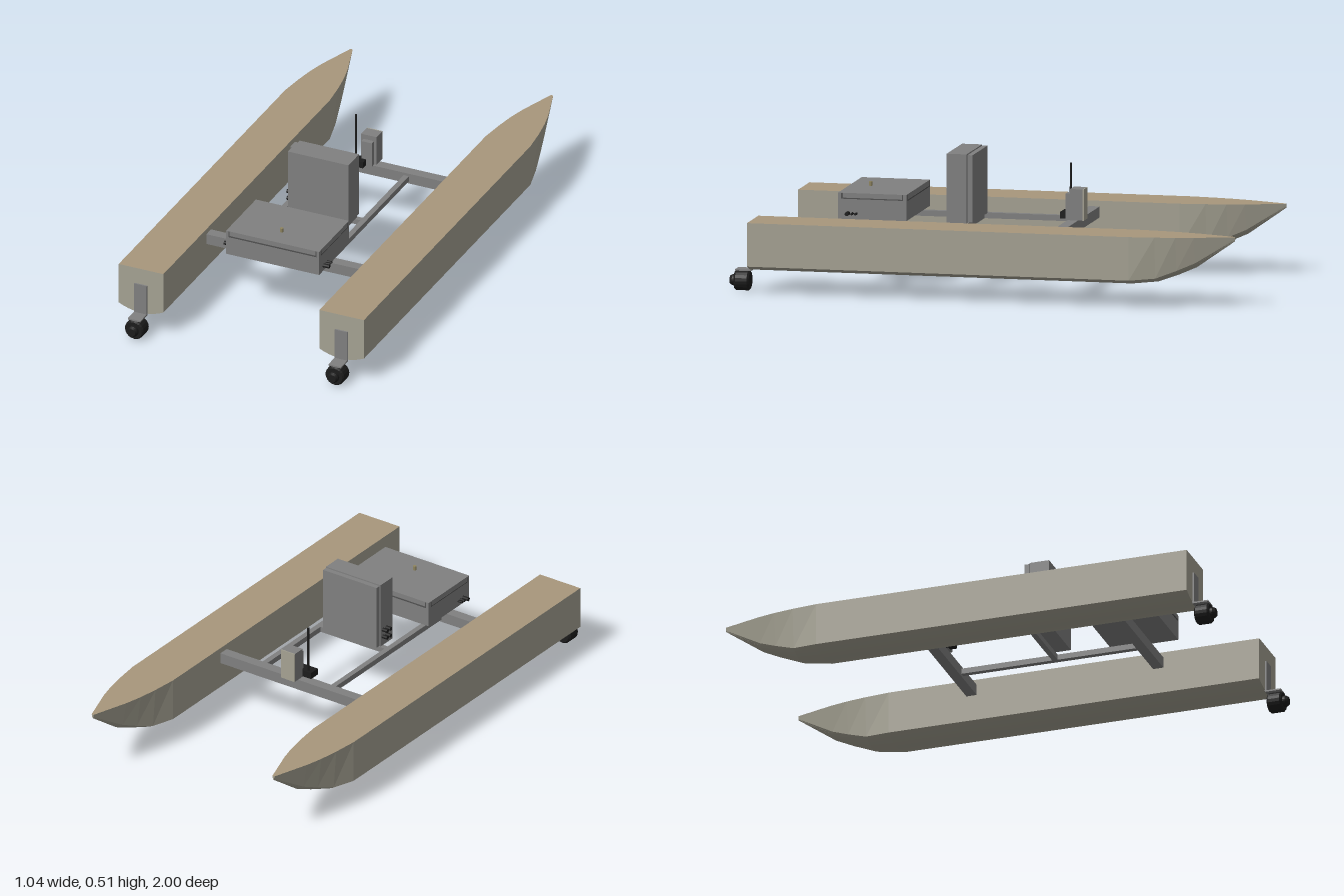
import * as THREE from 'three';

const mat = (name, color) => {
  const m = new THREE.MeshStandardMaterial({ color });
  m.name = name;
  return m;
};

export function createModel() {
  const root = new THREE.Group();
  root.name = 'catamaran';
  const hullMat = mat('hullKhaki', 0xa5a293);
  const deckMat = mat('deckTan', 0xa8977c);
  const grey = mat('metalGrey', 0x808080);
  const dark = mat('sealGrey', 0x505050);
  const black = mat('rubberBlack', 0x1c1c1c);
  const brass = mat('brass', 0x8f8560);

  const add = (parent, name, geo, material, x = 0, y = 0, z = 0) => {
    const m = new THREE.Mesh(geo, material);
    m.name = name;
    m.position.set(x, y, z);
    parent.add(m);
    return m;
  };
  // box given by its lower and upper corner
  const box = (parent, name, material, [x0, y0, z0], [x1, y1, z1]) =>
    add(parent, name, new THREE.BoxGeometry(x1 - x0, y1 - y0, z1 - z0), material,
      (x0 + x1) / 2, (y0 + y1) / 2, (z0 + z1) / 2);

  // hull stations: z, deck half width, chine half width, chine height, keel height
  const stations = [
    [0.912, 0.095, 0.095, 0.11, 0.087],
    [-0.6, 0.095, 0.095, 0.11, 0.087],
    [-0.7, 0.084, 0.072, 0.118, 0.098],
    [-0.78, 0.071, 0.053, 0.148, 0.127],
    [-0.85, 0.054, 0.036, 0.178, 0.158],
    [-1.0, 0.005, 0.003, 0.27, 0.264],
  ];
  const deckY = 0.28;

  function hullGeometry() {
    const rings = stations.map(([z, w, wb, chine, keel]) => {
      const ring = [[w, deckY, z]];
      for (let i = 0; i <= 10; i++) {
        const t = 1 - i / 5;
        ring.push([wb * t, keel + (chine - keel) * t * t, z]);
      }
      ring.push([-w, deckY, z]);
      return ring;
    });
    const pos = [];
    const tri = (...pts) => pts.forEach((p) => pos.push(...p));
    const n = rings[0].length;
    for (let s = 0; s < rings.length - 1; s++) {
      for (let i = 0; i < n - 1; i++) {
        const a = rings[s][i], b = rings[s][i + 1], c = rings[s + 1][i + 1], d = rings[s + 1][i];
        tri(a, b, d);
        tri(b, c, d);
      }
    }
    // transom and bow caps
    const stern = rings[0], bow = rings[rings.length - 1];
    for (let i = 1; i < n - 1; i++) {
      tri(stern[0], stern[i + 1], stern[i]);
      tri(bow[0], bow[i], bow[i + 1]);
    }
    const g = new THREE.BufferGeometry();
    g.setAttribute('position', new THREE.Float32BufferAttribute(pos, 3));
    g.computeVertexNormals();
    return g;
  }

  const outline = [
    ...stations.map(([z, w]) => new THREE.Vector2(w, -z)),
    ...stations.map(([z, w]) => new THREE.Vector2(-w, -z)).reverse(),
  ];
  const deckGeo = new THREE.ShapeGeometry(new THREE.Shape(outline)).rotateX(-Math.PI / 2);
  const hullGeo = hullGeometry();

  // thruster body turned along z
  const thrusterGeo = new THREE.LatheGeometry([
    [0, 0.92], [0.033, 0.92], [0.04, 0.927], [0.04, 0.973], [0.035, 0.98],
    [0.022, 0.98], [0.022, 0.99], [0.016, 1.0], [0, 1.0],
  ].map(([r, z]) => new THREE.Vector2(r, z)), 20).toNonIndexed().rotateX(Math.PI / 2);
  thrusterGeo.computeVertexNormals();

  // hulls with their thrusters
  for (const side of [-1, 1]) {
    const g = new THREE.Group();
    g.name = side > 0 ? 'leftHull' : 'rightHull';
    g.position.x = side * 0.427;
    root.add(g);
    add(g, 'hullShell', hullGeo, hullMat);
    add(g, 'deck', deckGeo, deckMat, 0, deckY, 0);
    box(g, 'thrusterBracket', grey, [-0.027, 0.085, 0.91], [0.027, 0.213, 0.918]);
    box(g, 'thrusterMount', grey, [-0.027, 0.082, 0.912], [0.027, 0.088, 0.975]);
    add(g, 'thruster', thrusterGeo, black, 0, 0.0425, 0);
  }

  // frame
  for (const z of [-0.262, 0.5])
    box(root, 'crossBeam', grey, [-0.335, 0.215, z - 0.021], [0.335, 0.258, z + 0.021]);
  for (const x of [-0.162, 0.162])
    box(root, 'rail', grey, [x - 0.011, 0.225, -0.25], [x + 0.011, 0.247, 0.49]);
  box(root, 'crossTie', grey, [-0.16, 0.225, 0.13], [0.16, 0.247, 0.152]);

  // cable gland pointing along x
  const gland = (parent, x, y, z, r, len) => {
    const m = add(parent, 'cableGland', new THREE.CylinderGeometry(r, r, len, 10), black, x, y, z);
    m.rotation.z = Math.PI / 2;
  };

  // battery case with a lid seam
  const battery = new THREE.Group();
  battery.name = 'batteryCase';
  root.add(battery);
  box(battery, 'caseBody', grey, [-0.198, 0.258, 0.357], [0.198, 0.36, 0.628]);
  for (const z of [0.355, 0.626]) {
    box(battery, 'lidSeam', dark, [-0.187, 0.335, z], [0.187, 0.34, z + 0.004]);
    for (const x of [-0.187, 0.183])
      box(battery, 'lidSeam', dark, [x, 0.335, z], [x + 0.004, 0.359, z + 0.004]);
  }
  for (const x of [-0.2, 0.196]) {
    box(battery, 'lidSeam', dark, [x, 0.337, 0.37], [x + 0.004, 0.341, 0.615]);
    for (const z of [0.37, 0.611])
      box(battery, 'lidSeam', dark, [x, 0.337, z], [x + 0.004, 0.359, z + 0.004]);
  }
  add(battery, 'ventPlug', new THREE.CylinderGeometry(0.007, 0.007, 0.017, 10), brass, 0, 0.368, 0.545);
  for (const s of [-1, 1]) {
    gland(battery, s * 0.211, 0.281, 0.588, 0.008, 0.026);
    gland(battery, s * 0.208, 0.281, 0.57, 0.005, 0.02);
    gland(battery, s * 0.208, 0.281, 0.555, 0.005, 0.02);
  }

  // upright electronics case
  const tower = new THREE.Group();
  tower.name = 'electronicsCase';
  root.add(tower);
  box(tower, 'caseBody', grey, [-0.129, 0.247, 0.135], [0.129, 0.516, 0.214]);
  box(tower, 'caseSeal', dark, [-0.122, 0.254, 0.131], [0.122, 0.509, 0.136]);
  box(tower, 'caseDoor', grey, [-0.126, 0.25, 0.112], [0.126, 0.513, 0.132]);
  for (const y of [0.285, 0.315])
    for (const z of [0.15, 0.172]) gland(tower, -0.14, y, z, 0.008, 0.024);

  // sensor box on the forward beam
  const sensor = new THREE.Group();
  sensor.name = 'sensor';
  root.add(sensor);
  box(sensor, 'sensorBox', grey, [-0.035, 0.258, -0.302], [0.03, 0.38, -0.252]);
  box(sensor, 'sensorFace', hullMat, [-0.035, 0.258, -0.306], [0.03, 0.38, -0.302]);
  box(sensor, 'sensorBracket', grey, [-0.025, 0.258, -0.252], [0.02, 0.36, -0.232]);

  // antenna and its base
  const antenna = new THREE.Group();
  antenna.name = 'antenna';
  root.add(antenna);
  box(antenna, 'antennaBase', black, [-0.073, 0.258, -0.25], [-0.005, 0.284, -0.204]);
  add(antenna, 'antennaMast', new THREE.CylinderGeometry(0.004, 0.005, 0.19, 8), black, -0.05, 0.375, -0.236);

  return root;
}
